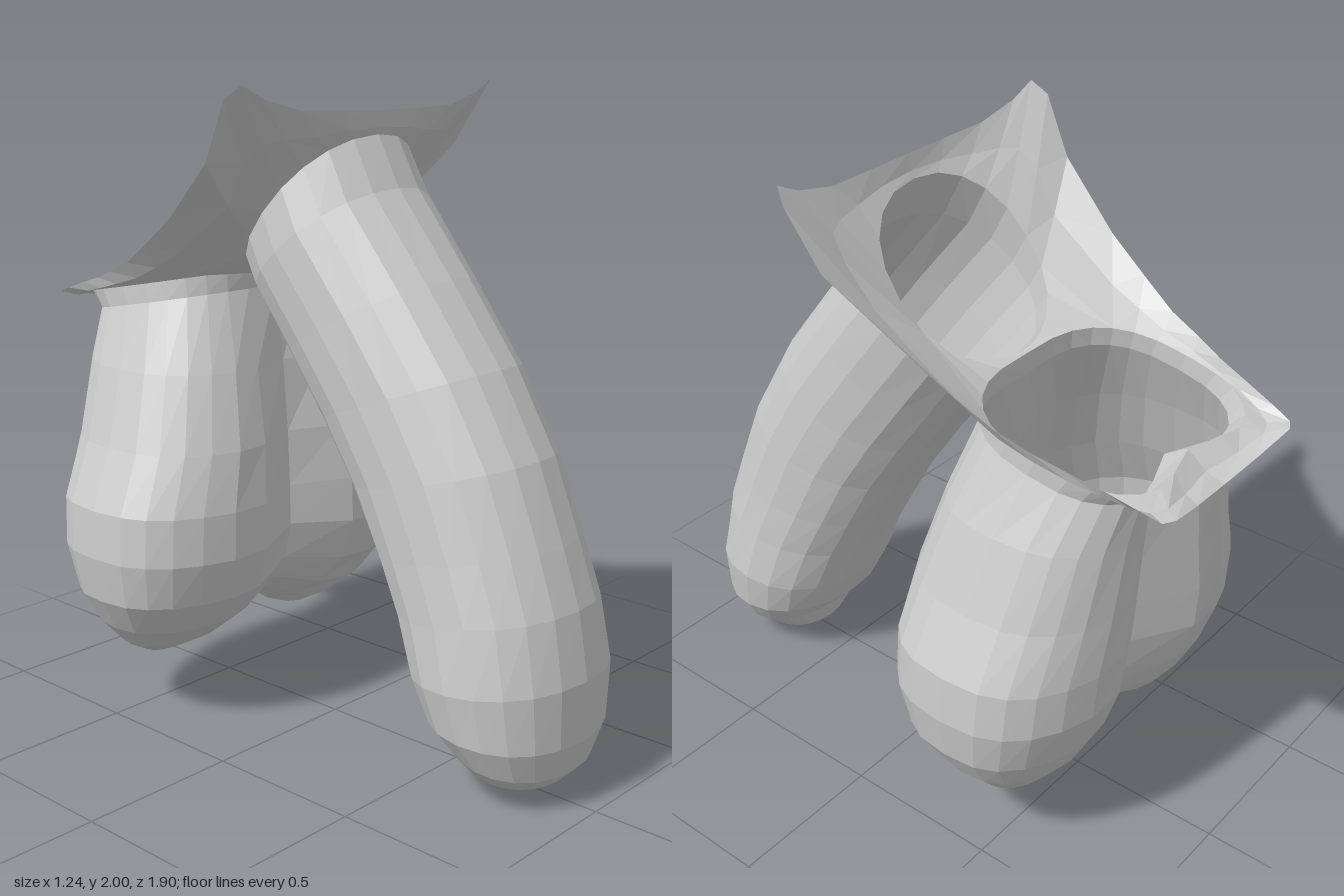
import * as THREE from 'three';

const material = new THREE.MeshStandardMaterial({ color: 0xcccccc, flatShading: true, side: THREE.DoubleSide });

function makeMesh(name, points, index) {
  const geometry = new THREE.BufferGeometry().setFromPoints(points);
  geometry.setIndex(index);
  geometry.computeVertexNormals();
  const mesh = new THREE.Mesh(geometry, material);
  mesh.name = name;
  return mesh;
}

// One closed cross-section between a front and a back point (z, y) with half width w.
// groove pinches the front and back near x = 0, lift raises the middle.
function ring([zf, yf, zb, yb, w, grooveF = 0, grooveB = 0, lift = 0], sides, power) {
  const bulge = v => Math.sign(v) * Math.abs(v) ** power;
  return Array.from({ length: sides }, (_, i) => {
    const a = (i / sides) * Math.PI * 2;
    const x = w * bulge(Math.sin(a));
    const mid = Math.exp(-((x / 0.15) ** 2));
    const c = bulge(Math.cos(a));
    const s = c * (1 - (c > 0 ? grooveF : grooveB) * mid);
    return new THREE.Vector3(
      x,
      (yf + yb) / 2 + ((yf - yb) / 2) * s + lift * mid,
      (zf + zb) / 2 + ((zf - zb) / 2) * s
    );
  });
}

// Skin joining successive rings
function loft(name, rings) {
  const n = rings[0].length, index = [];
  for (let r = 0; r < rings.length - 1; r++) {
    for (let i = 0; i < n; i++) {
      const a = r * n + i, b = r * n + (i + 1) % n;
      index.push(a, a + n, b, b, a + n, b + n);
    }
  }
  return makeMesh(name, rings.flat(), index);
}

export function createModel() {
  const group = new THREE.Group();
  group.name = 'anatomicalModel';

  // Curved shaft, open at the top, closed at the rounded tip
  const shaftRings = [
    [0.17, 1.85, -0.22, 1.41, 0.285],
    [0.25, 1.70, -0.18, 1.35, 0.295],
    [0.45, 1.455, -0.06, 1.18, 0.285],
    [0.63, 1.22, 0.06, 1.01, 0.28],
    [0.77, 0.98, 0.18, 0.83, 0.28],
    [0.86, 0.75, 0.28, 0.65, 0.285],
    [0.92, 0.58, 0.36, 0.50, 0.295],
    [0.955, 0.38, 0.43, 0.34, 0.31],
    [0.95, 0.20, 0.49, 0.225, 0.285],
    [0.92, 0.10, 0.57, 0.14, 0.23],
    [0.87, 0.05, 0.61, 0.05, 0.15],
    [0.75, 0.0, 0.75, 0.0, 0]
  ].map(r => ring(r, 20, 0.92));
  group.add(loft('shaft', shaftRings));

  // Two-lobed sac, open at the top, with a saddle between the lobes
  const sacRings = [
    [-0.24, 1.43, -0.88, 1.31, 0.37, 0.03, 0.25],
    [-0.24, 1.37, -0.83, 1.26, 0.37, 0.05, 0.35],
    [-0.16, 1.13, -0.813, 1.13, 0.45, 0.2, 0.35],
    [-0.10, 0.90, -0.806, 0.90, 0.53, 0.3, 0.35],
    [-0.08, 0.72, -0.80, 0.72, 0.61, 0.33, 0.35],
    [-0.08, 0.57, -0.79, 0.57, 0.62, 0.33, 0.35, 0.02],
    [-0.125, 0.43, -0.74, 0.42, 0.595, 0.33, 0.33, 0.04],
    [-0.21, 0.32, -0.685, 0.31, 0.53, 0.3, 0.3, 0.07],
    [-0.32, 0.235, -0.62, 0.225, 0.45, 0.2, 0.2, 0.11],
    [-0.41, 0.19, -0.55, 0.19, 0.38, 0, 0, 0.13],
    [-0.48, 0.178, -0.48, 0.178, 0.33, 0, 0, 0.14]
  ].map(r => ring(r, 28, 0.75));
  group.add(loft('sac', sacRings));

  // Flared skin patch: its rim runs around both openings
  const half = [
    [0, 1.92, 0.19], [0.16, 1.92, 0.19], [0.32, 1.925, 0.18], [0.46, 1.96, 0.17],
    [0.54, 2.0, 0.165], [0.565, 1.96, 0.12], [0.54, 1.79, 0.02], [0.48, 1.62, -0.2],
    [0.455, 1.53, -0.34], [0.43, 1.46, -0.46], [0.41, 1.42, -0.57], [0.385, 1.39, -0.66],
    [0.36, 1.36, -0.77], [0.34, 1.33, -0.87], [0.325, 1.31, -0.93], [0.29, 1.31, -0.95],
    [0.15, 1.275, -0.93], [0, 1.26, -0.92]
  ].map(p => new THREE.Vector3(...p));
  const mirrored = half.slice(1, -1).reverse().map(p => new THREE.Vector3(-p.x, p.y, p.z));
  const rim = [...half, ...mirrored];
  const shaftTop = shaftRings[0], sacTop = sacRings[0];
  const inner = [...shaftTop.slice(0, 7), ...sacTop.slice(4, 25), ...shaftTop.slice(14)];
  const middle = rim.map((p, i) => {
    const m = p.clone().lerp(inner[i], 0.5);
    m.y -= 0.015;
    return m;
  });
  group.add(loft('basePatch', [inner, middle, rim]));

  // Web of skin between the two openings
  const web = [...shaftTop.slice(6, 15), ...sacTop.slice(24), ...sacTop.slice(0, 5)];
  const faces = THREE.ShapeUtils.triangulateShape(web.map(p => new THREE.Vector2(p.x, p.z)), []);
  group.add(makeMesh('web', web, faces.flat()));

  return group;
}
